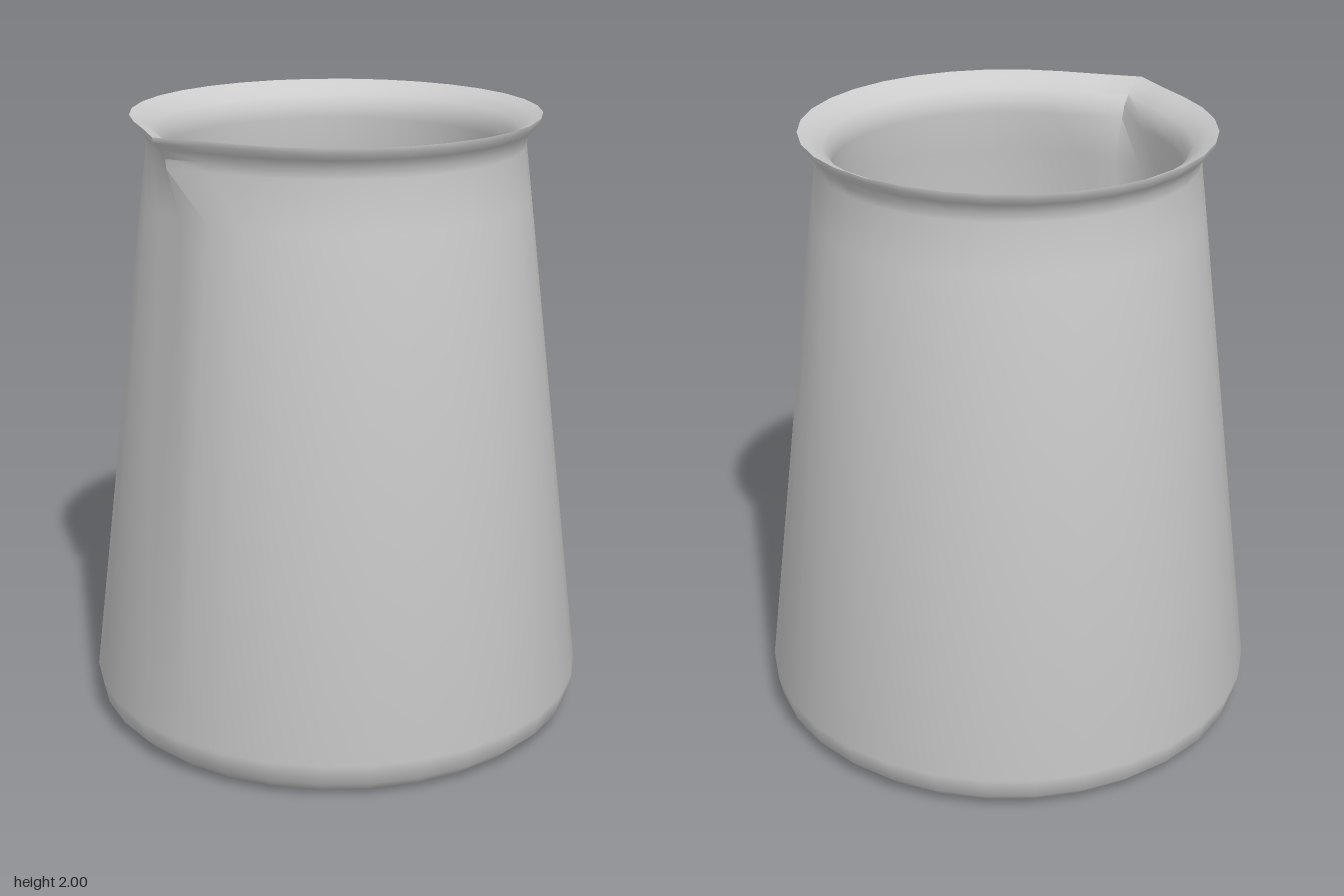
import * as THREE from 'three';
import { mergeVertices, toCreasedNormals } from 'three/addons/utils/BufferGeometryUtils.js';

const SEGMENTS = 32;

// Outer wall from the base centre up to the rim, then the inner wall down to the floor
const PROFILE = [
  [0, 0], [0.7, 0], [0.765, 0.015], [0.805, 0.055], [0.82, 0.125],
  [0.622, 1.74], [0.602, 1.9], [0.605, 1.93], [0.625, 1.96], [0.648, 1.985], [0.65, 2],
  [0.615, 1.985], [0.575, 1.955], [0.553, 1.92], [0.552, 1.88],
  [0.572, 1.74], [0.77, 0.14], [0.75, 0.08], [0.7, 0.05], [0, 0.05],
].map(([r, y]) => new THREE.Vector2(r, y));

// Pull the front of the rim out to a pointed lip
function pinchSpout(geometry) {
  const pos = geometry.attributes.position;
  const step = (Math.PI * 2) / SEGMENTS;
  for (let i = 0; i < pos.count; i++) {
    const x = pos.getX(i), y = pos.getY(i), z = pos.getZ(i);
    const r = Math.hypot(x, z);
    const height = THREE.MathUtils.clamp((y - 1.74) / 0.16, 0, 1);
    if (height === 0 || r === 0) continue;
    const side = Math.abs(Math.atan2(x, z)) / step;
    const push = 0.066 * Math.max(0, 1 - side / 3) ** 3.4 * height;
    pos.setXYZ(i, (x * (r + push)) / r, y, (z * (r + push)) / r);
  }
}

export function createModel() {
  const group = new THREE.Group();
  group.name = 'pouringBeaker';

  // Tapered vessel, seam turned to the back
  let geometry = new THREE.LatheGeometry(PROFILE, SEGMENTS, Math.PI);
  geometry.deleteAttribute('uv');
  geometry.deleteAttribute('normal');
  geometry = mergeVertices(geometry);
  pinchSpout(geometry);
  geometry = toCreasedNormals(geometry, 0.8);

  const vessel = new THREE.Mesh(geometry, new THREE.MeshStandardMaterial({ color: 0xcccccc }));
  vessel.name = 'vessel';
  group.add(vessel);
  return group;
}
